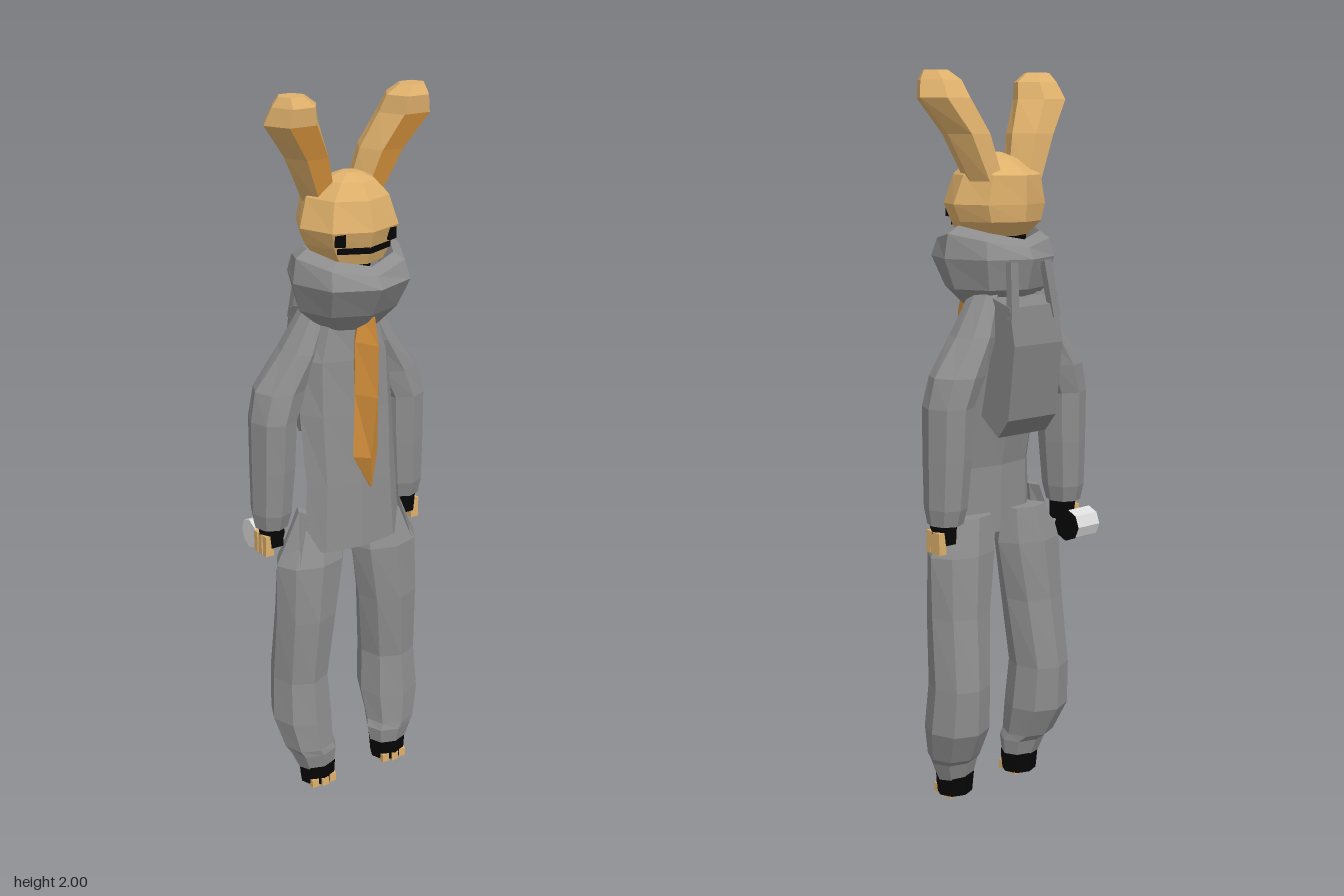
import * as THREE from 'three';

const mat = (name, color, side = THREE.FrontSide) => {
  const m = new THREE.MeshStandardMaterial({ color, side });
  m.name = name;
  return m;
};

// Faceted skin through elliptical rings [y, cx, cz, rx, rz], listed bottom to top.
// pick(row, segment) chooses faces; dip(row, angle) lowers points of a ring.
function loft(rings, n = 8, pick = () => true, dip = () => 0, capped = true) {
  const pos = [];
  const pt = (i, j) => {
    const [y, cx, cz, rx, rz] = rings[i], a = (j % n) / n * Math.PI * 2;
    return [cx + rx * Math.cos(a), y - dip(i, a), cz + rz * Math.sin(a)];
  };
  const mid = (i) => [rings[i][1], rings[i][0], rings[i][2]];
  const last = rings.length - 1;
  for (let j = 0; j < n; j++) {
    for (let i = 0; i < last; i++) {
      if (!pick(i, j)) continue;
      const a = pt(i, j), b = pt(i, j + 1), c = pt(i + 1, j + 1), d = pt(i + 1, j);
      pos.push(...a, ...d, ...c, ...a, ...c, ...b);
    }
    if (capped && pick(-1, j)) pos.push(...mid(0), ...pt(0, j), ...pt(0, j + 1));
    if (capped && pick(last, j)) pos.push(...mid(last), ...pt(last, j + 1), ...pt(last, j));
  }
  const g = new THREE.BufferGeometry();
  g.setAttribute('position', new THREE.Float32BufferAttribute(pos, 3));
  g.computeVertexNormals();
  return g;
}

export function createModel() {
  const root = new THREE.Group();
  root.name = 'hoodedRabbit';
  const fur = mat('fur', 0xdeb06b);
  const orange = mat('orange', 0xd8923c);
  const cloth = mat('greyCloth', 0x8e8e8e, THREE.DoubleSide);
  const packGrey = mat('packGrey', 0x858585);
  const black = mat('black', 0x050505);
  const pale = mat('paleGrey', 0xdcdcdc);

  const add = (name, geo, material, x = 0, y = 0, z = 0, parent = root) => {
    const m = new THREE.Mesh(geo, material);
    m.name = name;
    m.position.set(x, y, z);
    parent.add(m);
    return m;
  };
  const box = (w, h, d) => new THREE.BoxGeometry(w, h, d);

  // Head and neck
  add('head', loft([
    [1.57, 0, 0.015, 0.09, 0.088], [1.615, 0, 0, 0.122, 0.12], [1.66, 0, 0.005, 0.14, 0.13],
    [1.735, 0, -0.005, 0.115, 0.118], [1.775, 0, 0.01, 0.07, 0.07], [1.793, 0, 0.015, 0.025, 0.025],
  ]), fur);
  add('neck', loft([[1.4, 0, -0.02, 0.06, 0.05], [1.58, 0, -0.01, 0.08, 0.07]]), black);

  // Jacket body, shallow at the waist
  add('jacket', loft([
    [0.76, 0, 0.035, 0.155, 0.057], [0.95, 0, 0.03, 0.142, 0.055], [1.15, 0, 0.002, 0.145, 0.072],
    [1.3, 0, -0.02, 0.14, 0.09], [1.4, 0, -0.025, 0.105, 0.09], [1.47, 0, -0.02, 0.07, 0.07],
  ]), cloth);

  // Wide cowl folding over into its opening, dipping at front and back
  add('cowl', loft([
    [1.39, 0, 0.005, 0.085, 0.08], [1.44, 0, 0, 0.142, 0.13], [1.52, 0, 0.012, 0.166, 0.165],
    [1.585, 0, 0.01, 0.156, 0.145], [1.605, 0, 0.007, 0.122, 0.122], [1.5, 0, -0.005, 0.09, 0.08],
  ], 8, undefined, (i, a) => (i === 3 || i === 4 ? 0.035 * Math.sin(a) ** 2 : 0), false), cloth);

  // Hanging tongue on the chest
  add('tie', loft([
    [0.94, 0.02, 0.097, 0.004, 0.004], [1.04, 0, 0.1, 0.038, 0.03],
    [1.22, 0.003, 0.1, 0.037, 0.056], [1.36, 0.008, 0.088, 0.034, 0.062], [1.43, 0.012, 0.08, 0.02, 0.045],
  ], 4), orange);

  // Backpack: side profile extruded across the back
  const profile = new THREE.Shape([
    [0.04, 1.1], [0.11, 1.05], [0.15, 1.1], [0.175, 1.3], [0.155, 1.4], [0.05, 1.43],
  ].map(([z, y]) => new THREE.Vector2(z, y)));
  const packGeo = new THREE.ExtrudeGeometry(profile, { depth: 0.17, bevelEnabled: false });
  packGeo.rotateY(Math.PI / 2);
  add('backpack', packGeo, packGrey, -0.085, 0, 0);

  // Hand lamp: pale barrel, black inner end
  const barrel = new THREE.CylinderGeometry(0.043, 0.043, 0.085, 8).toNonIndexed();
  barrel.computeVertexNormals();
  add('lamp', barrel, pale, -0.2, 0.77, -0.122).rotation.z = Math.PI / 2;
  const cap = add('lampEnd', new THREE.CylinderGeometry(0.044, 0.044, 0.008, 8), black, -0.157, 0.77, -0.122);
  cap.rotation.z = Math.PI / 2;

  for (const s of [1, -1]) {
    const side = new THREE.Group();
    side.name = s > 0 ? 'leftSide' : 'rightSide';
    root.add(side);
    const mirror = (rings) => rings.map(([y, x, ...r]) => [y, s * x, ...r]);
    const put = (name, geo, m, x = 0, y = 0, z = 0) => add(name, geo, m, s * x, y, z, side);

    // Ear, with the forward facet as the orange inner ear
    const ear = mirror([
      [1.72, 0.066, -0.03, 0.046, 0.06], [1.84, 0.11, -0.012, 0.062, 0.07],
      [1.93, 0.165, 0.012, 0.076, 0.073], [1.975, 0.165, 0.028, 0.062, 0.06], [2.0, 0.175, 0.033, 0.036, 0.035],
    ]);
    const inner = (i, j) => j === 1 && i >= 0 && i < 2;
    put('ear', loft(ear, 6, (i, j) => !inner(i, j)), fur);
    put('innerEar', loft(ear, 6, inner), orange);

    // Eye and half of the mouth, laid on the face
    put('eye', box(0.028, 0.036, 0.009), black, 0.077, 1.642, 0.099).rotation.y = s * 0.4;
    put('mouth', box(0.085, 0.016, 0.009), black, 0.039, 1.61, 0.102).rotation.y = s * 0.4;

    // Sleeve
    put('sleeve', loft(mirror([
      [0.825, 0.215, -0.045, 0.047, 0.05], [0.87, 0.213, -0.045, 0.056, 0.062],
      [1.0, 0.207, -0.045, 0.062, 0.07], [1.14, 0.203, -0.045, 0.065, 0.074],
      [1.22, 0.175, -0.05, 0.076, 0.074], [1.32, 0.118, -0.045, 0.056, 0.07], [1.43, 0.07, -0.04, 0.035, 0.05],
    ])), cloth);

    // Hand: black wrap around the palm, fingers on the outer side
    put('wristWrap', loft(mirror([[0.77, 0.215, -0.038, 0.034, 0.036], [0.84, 0.218, -0.04, 0.04, 0.04]]), 6), black);
    for (let i = 0; i < 3; i++) {
      put('finger', box(0.024, 0.06, 0.018), fur, 0.243 - i * 0.002, 0.777, -0.06 + i * 0.021);
    }

    // Baggy trouser leg with gathered cuff
    put('trouserLeg', loft(mirror([
      [0.05, 0.122, 0.035, 0.055, 0.045], [0.11, 0.13, 0.03, 0.072, 0.06], [0.13, 0.14, 0.018, 0.075, 0.072],
      [0.22, 0.148, -0.008, 0.09, 0.092], [0.35, 0.148, -0.018, 0.083, 0.088],
      [0.55, 0.135, 0, 0.092, 0.082], [0.72, 0.12, 0.005, 0.106, 0.075], [0.82, 0.1, 0, 0.075, 0.05],
    ])), cloth);

    // Trouser hip corner peeking out beside the jacket hem
    put('hipFold', loft(mirror([[0.72, 0.185, 0.005, 0.038, 0.055], [0.87, 0.145, 0.01, 0.012, 0.03]]), 4), cloth);

    // Foot: black wrap with toe strips along the sole
    put('footWrap', loft(mirror([[0.006, 0.122, 0.037, 0.052, 0.048], [0.065, 0.122, 0.035, 0.058, 0.05]])), black);
    for (let i = -1; i <= 1; i++) {
      put('toe', box(0.022, 0.026, 0.07), fur, 0.122 + i * 0.029, 0.013, 0.05 - Math.abs(i) * 0.006);
    }

    // Backpack strap rising under the cowl
    const strap = put('strap', box(0.025, 0.15, 0.02), packGrey, 0.066, 1.44, -0.145);
    strap.rotation.set(0.15, 0, s * 0.1);
  }
  return root;
}
